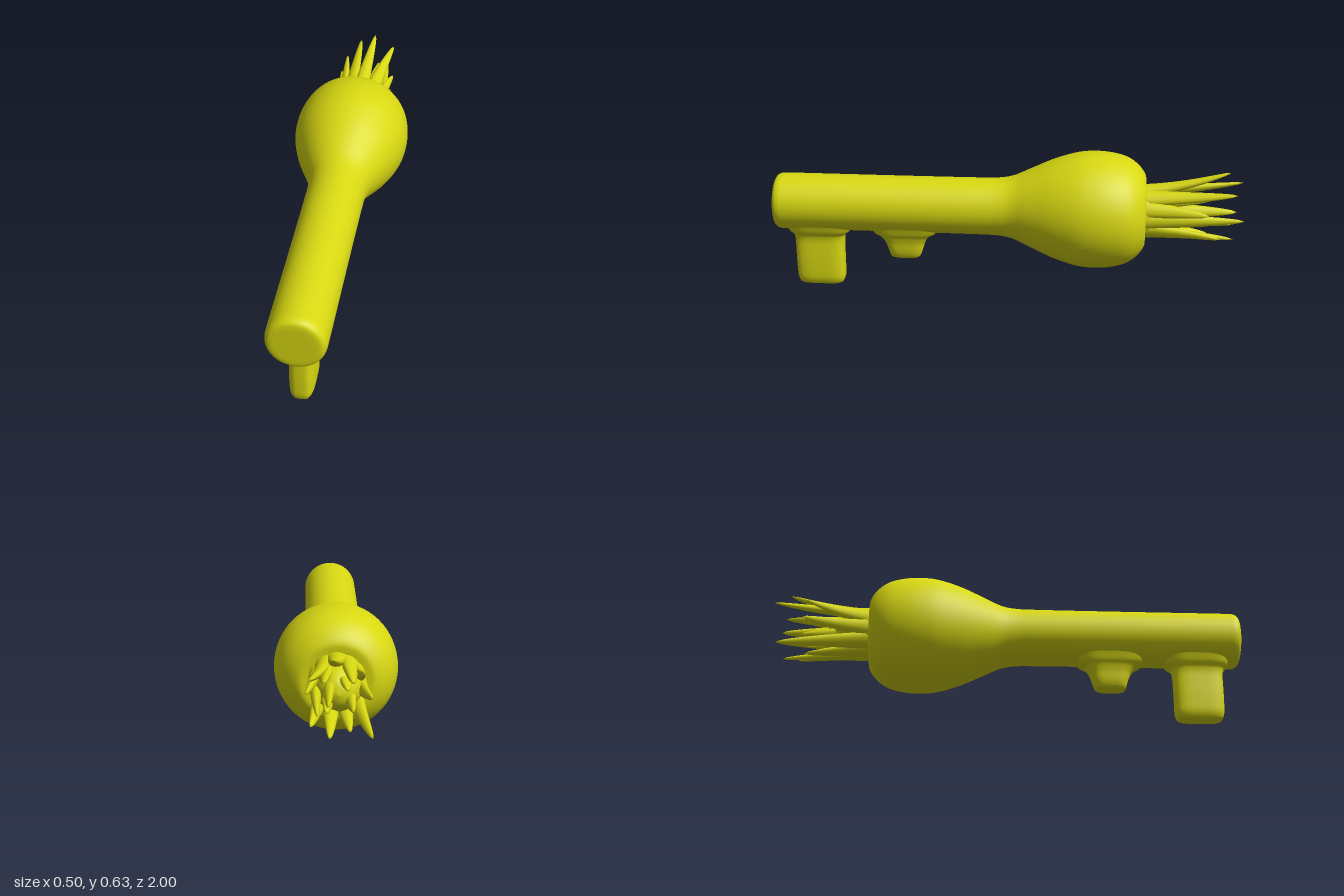
import * as THREE from 'three';
import { mergeVertices } from 'three/addons/utils/BufferGeometryUtils.js';

const CX = 0.004, CY = 0.38;
const material = new THREE.MeshStandardMaterial({ color: 0xd8d812 });

// Smooth solid of revolution along z, from [z, radius] points in ascending z
function turned(name, points) {
  const curve = new THREE.SplineCurve(points.map(([z, r]) => new THREE.Vector2(r, z)));
  const profile = curve.getPoints(points.length * 6);
  profile.forEach((p) => { p.x = Math.max(p.x, 0); });
  const geometry = new THREE.LatheGeometry(profile, 64);
  geometry.rotateX(Math.PI / 2);
  const mesh = new THREE.Mesh(geometry, material);
  mesh.name = name;
  mesh.position.set(CX, CY, 0);
  return mesh;
}

// Closed skin through rows x sides; place(t, angle) gives each point, t runs from 1 (top) to 0
function skin(name, rows, sides, place) {
  const geometry = new THREE.CylinderGeometry(1, 1, 1, sides, rows, true);
  const pos = geometry.attributes.position;
  for (let i = 0; i < pos.count; i++) {
    const row = Math.floor(i / (sides + 1));
    const angle = ((i % (sides + 1)) % sides) / sides * Math.PI * 2;
    const p = place(1 - row / rows, angle);
    pos.setXYZ(i, p.x, p.y, p.z);
  }
  geometry.deleteAttribute('normal');
  geometry.deleteAttribute('uv');
  const welded = mergeVertices(geometry, 1e-5);
  welded.computeVertexNormals();
  const mesh = new THREE.Mesh(welded, material);
  mesh.name = name;
  return mesh;
}

// Rounded key tooth through sections [y, half width, back z, front z], bottom first
function tooth(name, sections) {
  const size = new THREE.CatmullRomCurve3(sections.map((s) => new THREE.Vector3(s[1], s[2], s[3])));
  const height = new THREE.SplineCurve(sections.map((s) => new THREE.Vector2(s[0], 0)));
  const soft = (v) => Math.sign(v) * Math.pow(Math.abs(v), 0.55);
  return skin(name, 40, 40, (t, a) => {
    const s = size.getPoint(t);
    return new THREE.Vector3(
      CX + s.x * soft(Math.sin(a)),
      height.getPoint(t).x,
      (s.y + s.z) / 2 + (s.z - s.y) / 2 * soft(Math.cos(a)),
    );
  });
}

// Curved tapering leaf growing backwards from the collar to a rounded tip
function leaf(name, root, tip, thickness) {
  const a = new THREE.Vector3(...root), c = new THREE.Vector3(...tip);
  const b = new THREE.Vector3(a.x * 0.75 + c.x * 0.25, a.y * 0.75 + c.y * 0.25, (a.z + c.z) / 2);
  const path = new THREE.QuadraticBezierCurve3(a, b, c);
  const radial = Math.atan2(root[1] - CY, root[0] - CX);
  return skin(name, 18, 12, (t, ang) => {
    const u = 1 - t;
    const r = thickness * Math.sqrt(1 - Math.pow(u, 8)) * (1 - 0.72 * u);
    const p = path.getPoint(u);
    // Wider around the collar than it is deep
    const out = r * 0.8 * Math.cos(ang), side = r * 1.15 * Math.sin(ang);
    p.x += out * Math.cos(radial) - side * Math.sin(radial);
    p.y += out * Math.sin(radial) + side * Math.cos(radial);
    return p;
  });
}

export function createModel() {
  const model = new THREE.Group();
  model.name = 'key';

  // Round shaft swelling into the bulb
  model.add(turned('shaftAndBulb', [
    [-0.575, 0], [-0.58, 0.06], [-0.588, 0.12], [-0.585, 0.155], [-0.555, 0.195],
    [-0.51, 0.226], [-0.45, 0.243], [-0.38, 0.249], [-0.3, 0.242], [-0.2, 0.212],
    [-0.1, 0.168], [-0.03, 0.137], [0.03, 0.125], [0.12, 0.122], [0.4, 0.121],
    [0.7, 0.121], [0.93, 0.121], [0.975, 0.119], [0.993, 0.109], [0.999, 0.092],
    [1, 0.06], [1, 0],
  ]));

  // Teeth under the shaft, flared where they join it
  model.add(tooth('longTooth', [
    [0.001, 0, 0.815, 0.815], [0.002, 0.022, 0.745, 0.885], [0.012, 0.04, 0.72, 0.91],
    [0.045, 0.05, 0.711, 0.92], [0.12, 0.052, 0.711, 0.922], [0.2, 0.051, 0.71, 0.922],
    [0.235, 0.055, 0.705, 0.926], [0.258, 0.07, 0.68, 0.945], [0.3, 0.085, 0.66, 0.96],
  ]));
  model.add(tooth('shortTooth', [
    [0.134, 0, 0.44, 0.44], [0.135, 0.022, 0.395, 0.485], [0.145, 0.037, 0.376, 0.504],
    [0.17, 0.046, 0.366, 0.512], [0.21, 0.052, 0.354, 0.526],
    [0.24, 0.06, 0.335, 0.547], [0.258, 0.07, 0.305, 0.575], [0.3, 0.085, 0.28, 0.6],
  ]));

  // Leafy tuft behind the bulb
  const tuft = new THREE.Group();
  tuft.name = 'tuft';
  tuft.add(turned('collar', [
    [-0.77, 0], [-0.755, 0.045], [-0.71, 0.083], [-0.65, 0.101], [-0.6, 0.109], [-0.56, 0.118],
  ]));
  const tips = [
    [0.03, 0.57, -0.94], [-0.045, 0.5, -1], [-0.09, 0.495, -0.86], [-0.12, 0.4, -0.87],
    [-0.118, 0.28, -0.975], [-0.04, 0.265, -0.86], [0.04, 0.275, -0.96], [0.11, 0.3, -0.9],
    [0.085, 0.375, -1], [0.128, 0.41, -0.85], [0.115, 0.5, -0.965],
  ];
  // Outer ring: roots are spread evenly around the collar
  tips.forEach((tip, i) => {
    const angle = Math.PI / 2 + i / tips.length * Math.PI * 2;
    const root = [CX + 0.086 * Math.cos(angle), CY + 0.086 * Math.sin(angle), -0.56];
    tuft.add(leaf('outerLeaf', root, tip, 0.036));
  });
  // Shorter leaves in the middle
  [[-0.03, 0.43, -0.87], [-0.05, 0.35, -0.88], [0.05, 0.34, -0.86], [0.045, 0.4, -0.97], [0.06, 0.46, -0.87]]
    .forEach((tip) => {
      const root = [CX + (tip[0] - CX) * 0.8, CY + (tip[1] - CY) * 0.8, -0.62];
      tuft.add(leaf('innerLeaf', root, tip, 0.036));
    });
  model.add(tuft);
  return model;
}
